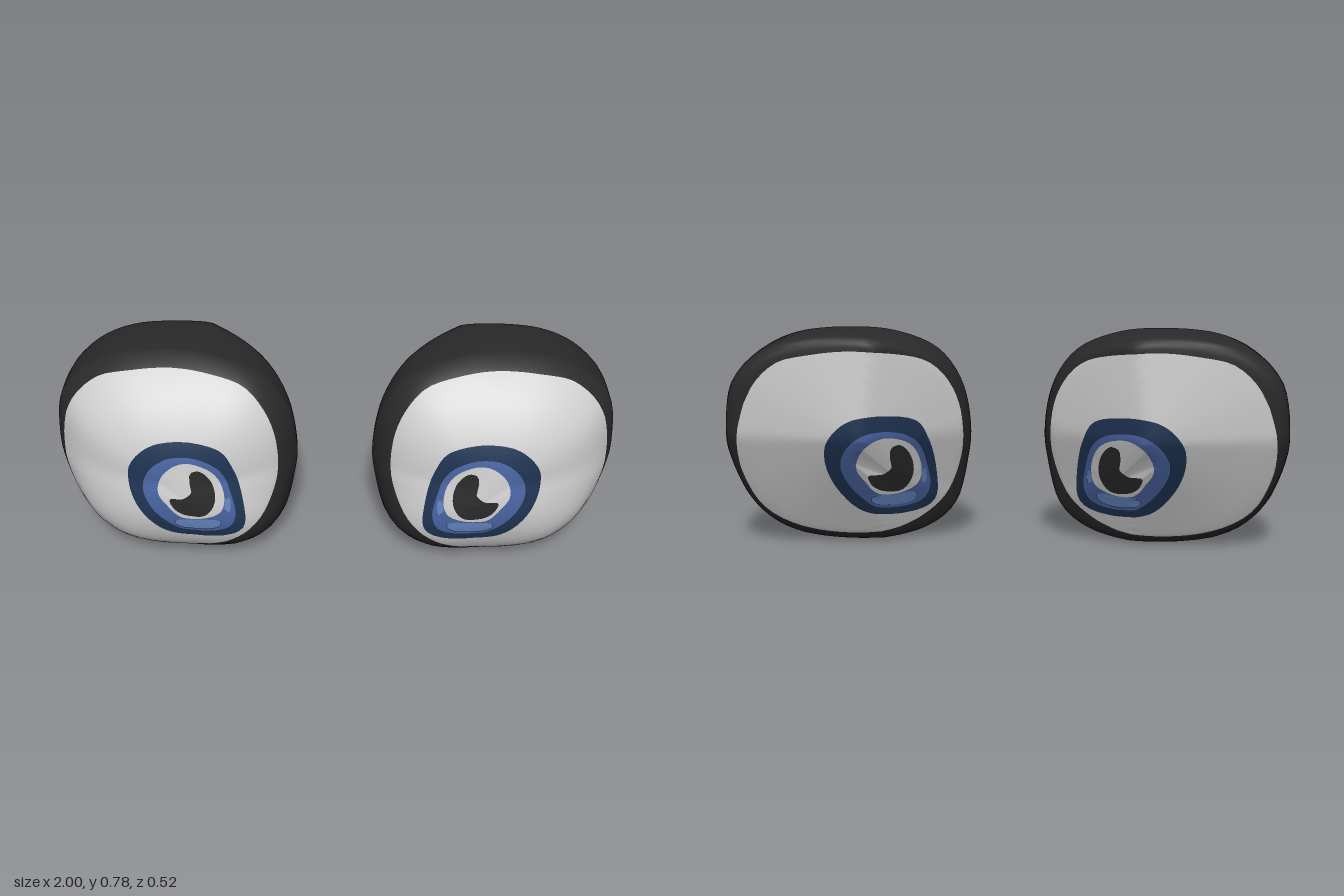
import * as THREE from 'three';

const mat = (name, color) => new THREE.MeshStandardMaterial({ name, color });
const N = 80;

// Rounds a closed outline of x, y points
const smooth = pts => new THREE.CatmullRomCurve3(pts.map(([x, y]) => new THREE.Vector3(x, y, 0)), true, 'centripetal')
  .getPoints(pts.length * 4).slice(0, -1).map(p => [p.x, p.y]);

// Outlines of the left eye's colour areas, seen from the front
const OUTLINE = smooth([[.57, .786], [.76, .765], [.88, .706], [.97, .604], [.998, .433], [.993, .337], [.925, .15],
  [.8, .043], [.57, .003], [.33, .027], [.2, .118], [.144, .31], [.134, .417], [.166, .588], [.25, .706], [.396, .77]]);
const WHITE = smooth([[.57, .754], [.73, .738], [.83, .705], [.93, .604], [.973, .417], [.957, .283], [.893, .15],
  [.786, .09], [.572, .07], [.385, .118], [.267, .214], [.209, .337], [.198, .444], [.225, .588], [.3, .695], [.41, .738]]);
const IRIS = smooth([[.53, .556], [.64, .535], [.71, .46], [.717, .375], [.685, .283], [.61, .193], [.545, .166],
  [.36, .166], [.32, .2], [.32, .31], [.35, .444], [.396, .524]]);
const BLUE = smooth([[.572, .497], [.64, .45], [.668, .375], [.64, .294], [.567, .214], [.52, .193], [.375, .203],
  [.348, .257], [.358, .337], [.396, .444], [.465, .492]]);
const SHINE = smooth([[.535, .476], [.594, .433], [.615, .364], [.585, .31], [.535, .255], [.45, .255], [.396, .283],
  [.385, .353], [.417, .433], [.47, .47]]);
const PUPIL = smooth([[.425, .396], [.465, .447], [.497, .44], [.503, .396], [.497, .364], [.53, .337], [.575, .337],
  [.56, .294], [.52, .266], [.455, .266], [.418, .32]]);
// Pale flecks in the iris: a centre and an outline each
const FLECKS = [
  [[.49, .228], smooth([[.4, .243], [.5, .25], [.56, .245], [.56, .225], [.52, .205], [.41, .212]])],
  [[.372, .305], smooth([[.366, .335], [.38, .33], [.382, .285], [.368, .278]])]];

// Distance from a centre to a polygon along a direction
function reach(poly, [cx, cy], dx, dy) {
  let best = 0;
  poly.forEach(([ax, ay], i) => {
    const [bx, by] = poly[(i + 1) % poly.length];
    const ex = bx - ax, ey = by - ay, det = dx * ey - dy * ex;
    if (Math.abs(det) < 1e-9) return;
    const px = ax - cx, py = ay - cy;
    const t = (px * ey - py * ex) / det, u = (px * dy - py * dx) / det;
    if (t > 0 && u >= -1e-6 && u <= 1 + 1e-6) best = Math.max(best, t);
  });
  return best;
}

// A polygon resampled by angle around its centre
const ring = (poly, c) => Array.from({ length: N }, (_, i) => {
  const a = i / N * Math.PI * 2, dx = Math.cos(a), dy = Math.sin(a);
  const r = poly ? reach(poly, c, dx, dy) : 0;
  return [c[0] + dx * r, c[1] + dy * r];
});

// Share of the way from a centre to the eye's outline, and the outline point there
function share(x, y, c) {
  const d = Math.hypot(x - c[0], y - c[1]);
  if (d < 1e-6) return [0, c[0], c[1]];
  const dx = (x - c[0]) / d, dy = (y - c[1]) / d, r = reach(OUTLINE, c, dx, dy);
  return [Math.min(1, d / r), c[0] + dx * r, c[1] + dy * r];
}

// Depth of the widest loop, further forward on the inner and lower sides
const MID = [.56, .4], TIP = [.49, .41];
const equator = (x, y) => -.02 + .14 * Math.max(0, .57 - x) + .09 * Math.max(0, .4 - y);

// Front dome, fuller towards the bottom and the inner side
function frontZ(x, y) {
  const [s, ox, oy] = share(x, y, MID);
  const fuller = .27 * Math.max(0, .4 - y) + .15 * Math.max(0, .5 - x);
  return .245 * Math.pow(1 - s * s, .75) + fuller * (1 - s ** 12) + equator(ox, oy) * s ** 8;
}

// Back: shallow off-centre cone with a tilted, rounded rim
function backZ(x, y) {
  const [s, ox, oy] = share(x, y, TIP), e = equator(ox, oy);
  const rim = -.205 - (oy > .42 ? .12 : .4) * (oy - .42) + .55 * Math.max(0, .45 - ox);
  const cone = -.26 + (Math.min(rim, e - .01) + .26) * s;
  return e + (cone - e) * Math.sqrt(Math.max(0, 1 - s ** 40));
}

// Loops laid on the front, or carried through to the back along the eye's slanted axis
const onFront = (loop, off = 0) => loop.map(([x, y]) => [x, y, frontZ(x, y) + off]);
const onBack = (loop, off = 0) => loop.map(([x, y]) => {
  const d = (backZ(x, y) - frontZ(x, y)) * (1 - share(x, y, MID)[0] ** 20);
  const bx = x + .2 * d, by = y + .13 * d;
  return [bx, by, backZ(bx, by) - off];
});

// Skin over loops of points; each band between loops gets its material index
function skin(loops, bands, side) {
  const pos = [], idx = [], g = new THREE.BufferGeometry();
  loops.forEach(l => l.forEach(([x, y, z]) => pos.push(x * side, y, z)));
  bands.forEach((m, k) => {
    g.addGroup(idx.length, N * 6, m);
    for (let i = 0; i < N; i++) {
      const a = k * N + i, b = k * N + (i + 1) % N, c = a + N, d = b + N;
      idx.push(...(side > 0 ? [a, c, d, a, d, b] : [a, d, c, a, b, d]));
    }
  });
  g.setAttribute('position', new THREE.Float32BufferAttribute(pos, 3));
  g.setIndex(idx);
  g.computeVertexNormals();
  return g;
}

const mix = (A, B, t) => A.map(([x, y], i) => [x + (B[i][0] - x) * t, y + (B[i][1] - y) * t]);

export function createModel() {
  const group = new THREE.Group();
  const pale = mat('iris pale blue', 0x6485bf);
  const mats = [mat('rim black', 0x2a2a2a), mat('eye white', 0xd0d0d0), mat('iris navy', 0x1f3453), mat('iris blue', 0x4a64a2)];

  // Flat loops from the pupil's centre to the outline: [outer loop, steps, material]
  const iris = [.52, .36], pupil = [.485, .325];
  const areas = [[ring(PUPIL, pupil), 3, 0], [ring(SHINE, [.49, .36]), 1, 1], [ring(BLUE, iris), 2, 3],
    [ring(IRIS, iris), 2, 2], [ring(WHITE, MID), 9, 1], [ring(OUTLINE, MID), 9, 0]];
  const flat = [ring(null, pupil)], cols = [];
  let prev = flat[0];
  areas.forEach(([loop, steps, m], k) => {
    for (let j = 1; j <= steps; j++) {
      const t = j / steps;
      flat.push(mix(prev, loop, k === 5 ? 1 - (1 - t) ** 2.5 : t));
      cols.push(m);
    }
    prev = loop;
  });

  // One closed skin: out over the front, round the rim, in over the back
  const loops = [...flat.map(l => onFront(l)), ...flat.slice(0, -1).reverse().map(l => onBack(l))];
  const bands = [...cols, ...[...cols].reverse()];

  for (const side of [1, -1]) {
    const eye = new THREE.Group();
    eye.name = side > 0 ? 'leftEye' : 'rightEye';
    const add = (name, geometry, material) => {
      const mesh = new THREE.Mesh(geometry, material);
      mesh.name = name;
      eye.add(mesh);
    };
    add('eyeball', skin(loops, bands, side), mats);
    // Pale flecks, thin plates on the front and the back
    for (const [c, poly] of FLECKS) {
      const plate = [0, .33, .67, 1].map(t => mix(ring(null, c), ring(poly, c), t));
      add('frontIrisFleck', skin(plate.map(l => onFront(l, .004)), [0, 0, 0], side), [pale]);
      add('backIrisFleck', skin(plate.map(l => onBack(l, .005)).reverse(), [0, 0, 0], side), [pale]);
    }
    group.add(eye);
  }
  return group;
}
